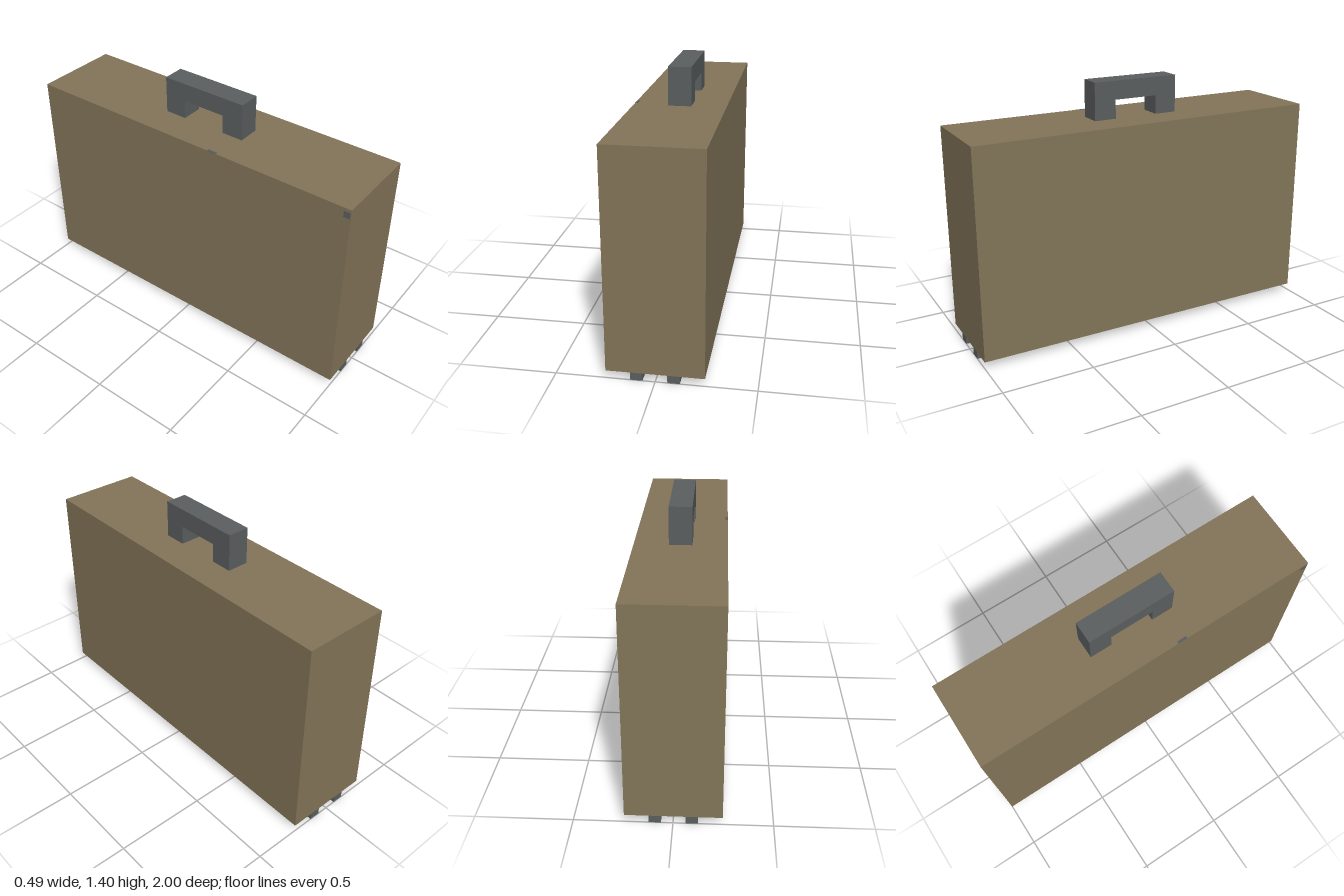
import * as THREE from 'three';

export function createModel() {
  const model = new THREE.Group();
  model.name = 'briefcase';

  const leather = new THREE.MeshStandardMaterial({ color: 0x837559 });
  leather.name = 'tan leather';
  const metal = new THREE.MeshStandardMaterial({ color: 0x5b5f60 });
  metal.name = 'dark grey metal';

  const cx = -0.0015; // shared centre line of case, handle and feet

  // Box given by its minimum and maximum corners
  function addBox(name, material, min, max) {
    const size = max.map((v, i) => v - min[i]);
    const mesh = new THREE.Mesh(new THREE.BoxGeometry(...size), material);
    mesh.position.set(...max.map((v, i) => (v + min[i]) / 2));
    mesh.name = name;
    model.add(mesh);
  }

  // Case
  addBox('caseBody', leather, [cx - 0.246, 0.04, -1], [cx + 0.246, 1.193, 1]);

  // Handle: a squared arch extruded across the width
  const arch = new THREE.Shape([
    [-0.25, 1.193], [-0.125, 1.193], [-0.125, 1.297], [0.125, 1.297],
    [0.125, 1.193], [0.25, 1.193], [0.25, 1.4], [-0.25, 1.4],
  ].map(([z, y]) => new THREE.Vector2(z, y)));
  const handleGeometry = new THREE.ExtrudeGeometry(arch, { depth: 0.123, bevelEnabled: false });
  handleGeometry.translate(0, 0, -0.0615).rotateY(Math.PI / 2);
  const handle = new THREE.Mesh(handleGeometry, metal);
  handle.position.x = cx;
  handle.name = 'handle';
  model.add(handle);

  // Four runner feet, flush with the case ends
  for (const sx of [-1, 1]) {
    for (const sz of [-1, 1]) {
      const xs = [cx + sx * 0.0615, cx + sx * 0.123].sort((a, b) => a - b);
      const zs = [sz * 0.627, sz].sort((a, b) => a - b);
      const name = (sz > 0 ? 'front' : 'back') + (sx > 0 ? 'Left' : 'Right') + 'Foot';
      addBox(name, metal, [xs[0], 0, zs[0]], [xs[1], 0.04, zs[1]]);
    }
  }

  // Tiny flush metal marks on the top edge and the right side
  addBox('topMark', metal, [cx - 0.246, 1.191, 0.165], [cx - 0.232, 1.194, 0.22]);
  addBox('sideMark', metal, [cx - 0.247, 1.14, 0.96], [cx - 0.244, 1.175, 0.995]);

  return model;
}
